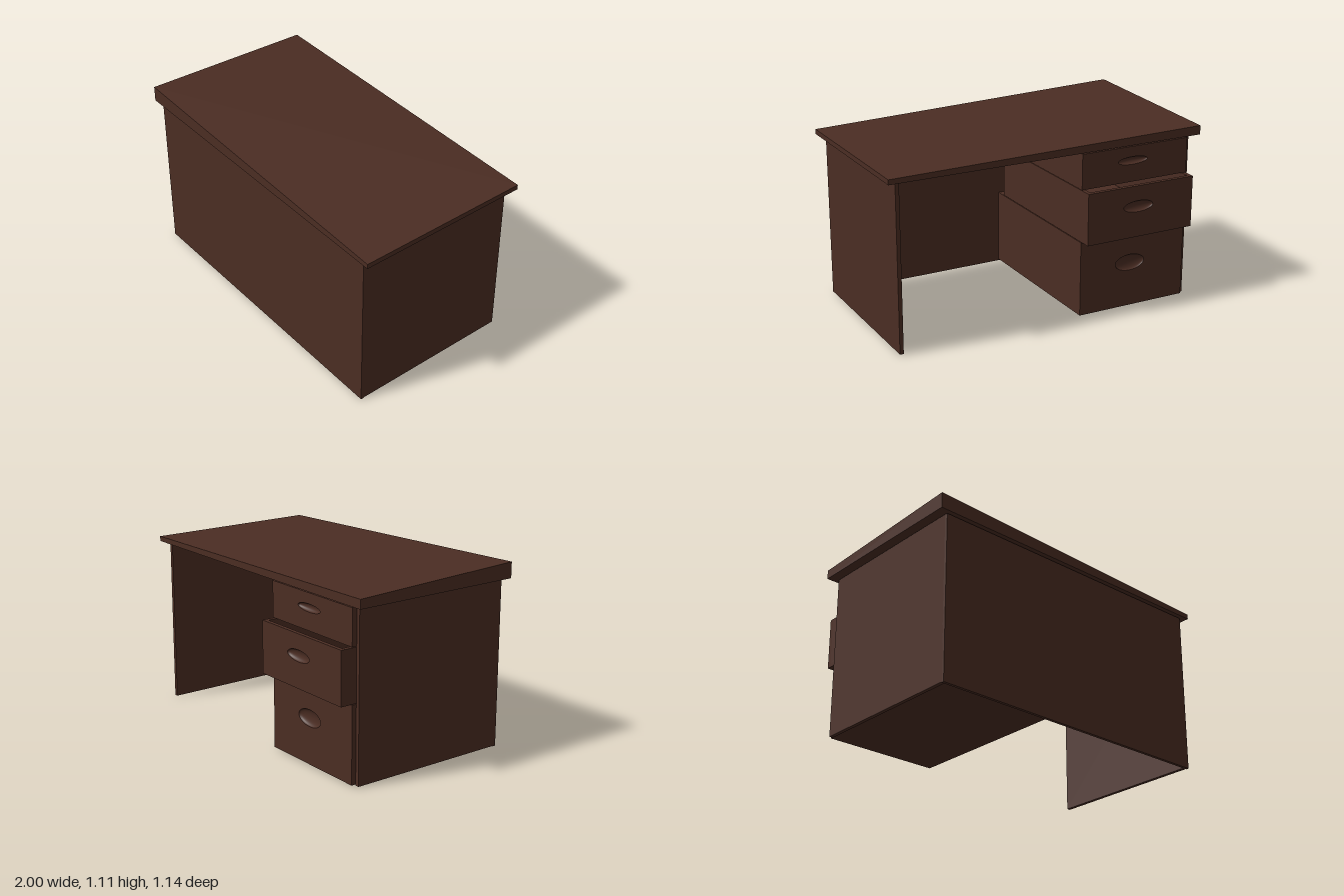
import * as THREE from 'three';

export function createModel() {
  const desk = new THREE.Group();
  desk.name = 'desk';
  const wood = new THREE.MeshStandardMaterial({ color: 0x4b2d23 });
  wood.name = 'darkWood';

  function add(parent, name, geometry) {
    const mesh = new THREE.Mesh(geometry, wood);
    mesh.name = name;
    parent.add(mesh);
    return mesh;
  }

  // Box given by its minimum and maximum corners
  function box(parent, name, [x0, y0, z0], [x1, y1, z1]) {
    const g = new THREE.BoxGeometry(x1 - x0, y1 - y0, z1 - z0);
    g.translate((x0 + x1) / 2, (y0 + y1) / 2, (z0 + z1) / 2);
    return add(parent, name, g);
  }

  // Slanted top: thickest at the front right corner, thin along the left edge
  let top = new THREE.BoxGeometry(2, 0.03, 1.08);
  top.translate(0, 1.03, 0.03);
  const p = top.attributes.position;
  for (let i = 0; i < p.count; i++) {
    if (p.getY(i) > 1.03 && p.getX(i) < 0) p.setY(i, p.getZ(i) > 0 ? 1.11 : 1.07);
  }
  top = top.toNonIndexed();
  top.computeVertexNormals();
  add(desk, 'tabletop', top);

  // Panels
  box(desk, 'frontPanel', [-0.945, 0, 0.532], [0.945, 1.008, 0.55]);
  box(desk, 'rightPanel', [-0.945, 0.003, -0.47], [-0.922, 1.01, 0.535]);
  box(desk, 'leftPanel', [0.922, 0.003, -0.47], [0.945, 1.01, 0.535]);

  // Open drawer whose face has a recessed oval finger pull
  function drawer(name, y0, y1, z0) {
    const group = new THREE.Group();
    group.name = name;
    desk.add(group);
    const x0 = -0.918, x1 = -0.2, t = 0.025, z1 = z0 + 1.027;
    const h = y1 - y0, cx = -0.54, cy = (y0 + y1) / 2 + 0.1 * h;
    const rx = 0.1, ry = 0.108 * h;

    const face = new THREE.Shape();
    face.moveTo(x0, y0);
    face.lineTo(x1, y0);
    face.lineTo(x1, y1);
    face.lineTo(x0, y1);
    face.closePath();
    const hole = new THREE.Path();
    hole.absellipse(cx, cy, rx, ry, 0, Math.PI * 2, true);
    face.holes.push(hole);
    const front = new THREE.ExtrudeGeometry(face, { depth: t, bevelEnabled: false, curveSegments: 32 });
    add(group, 'drawerFace', front.translate(0, 0, z0));

    // Hollow dish, mirrored so that its inside is the visible side
    const dish = new THREE.SphereGeometry(1, 32, 8, 0, Math.PI * 2, 0, Math.PI / 2);
    dish.rotateX(Math.PI / 2);
    dish.scale(-rx, ry, 0.022);
    dish.computeVertexNormals();
    add(group, 'fingerPull', dish.translate(cx, cy, z0));

    box(group, 'drawerFloor', [x0, y0, z0 + t], [x1, y0 + t, z1]);
    box(group, 'drawerSideRight', [x0, y0 + t, z0 + t], [x0 + t, y1, z1]);
    box(group, 'drawerSideLeft', [x1 - t, y0 + t, z0 + t], [x1, y1, z1]);
    box(group, 'drawerBack', [x0 + t, y0 + t, z1 - t], [x1 - t, y1, z1]);
  }
  drawer('topDrawer', 0.79, 1.005, -0.497);
  drawer('middleDrawer', 0.472, 0.787, -0.57);
  drawer('bottomDrawer', 0.008, 0.468, -0.495);

  return desk;
}
